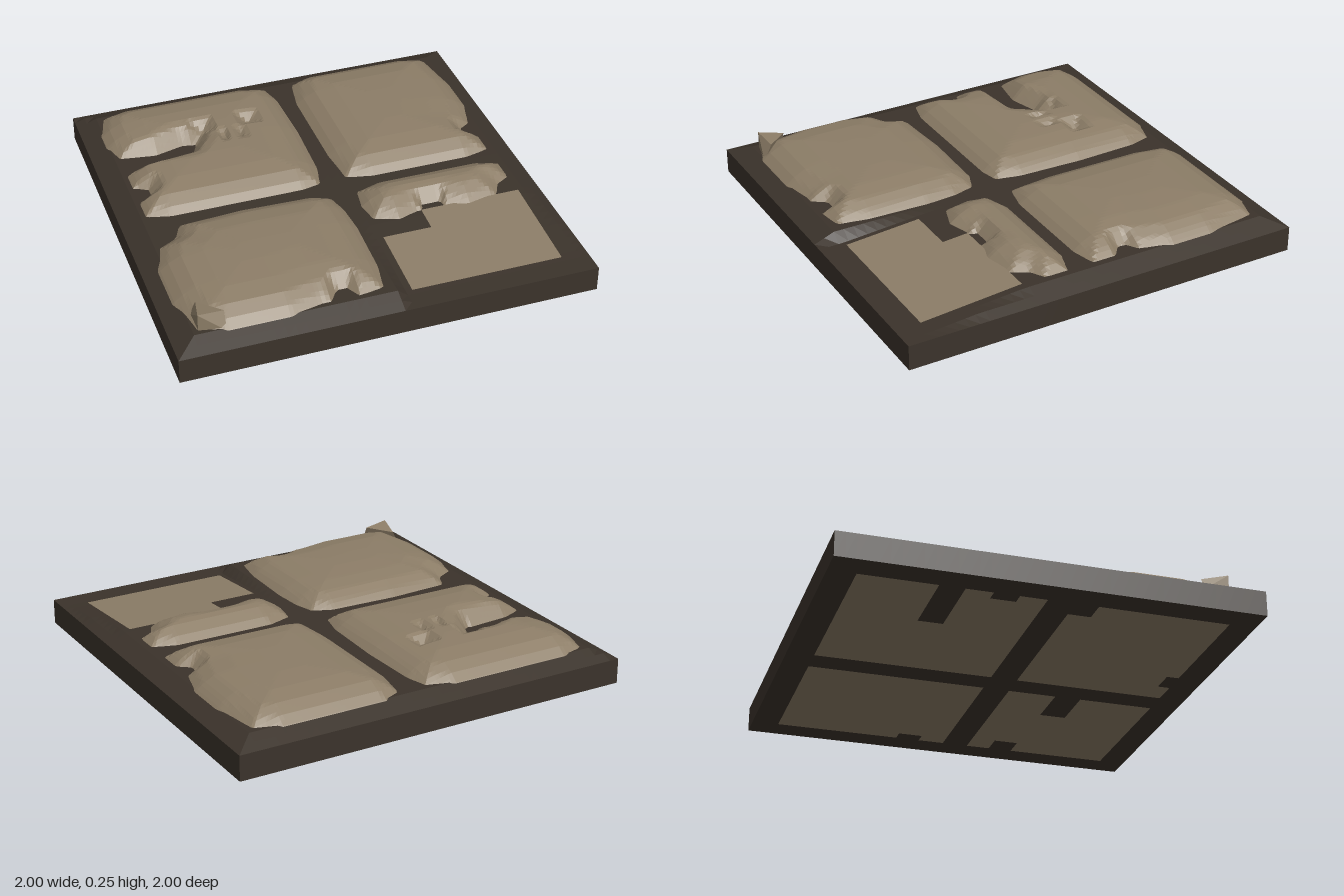
import * as THREE from 'three';
import { ConvexGeometry } from 'three/addons/geometries/ConvexGeometry.js';

const clamp = THREE.MathUtils.clamp;

// Signed distance to a polygon, positive inside
function inside(poly, x, z) {
  let best = Infinity, within = false;
  for (let i = 0, j = poly.length - 1; i < poly.length; j = i++) {
    const [ax, az] = poly[i], [bx, bz] = poly[j];
    const ex = bx - ax, ez = bz - az;
    const t = clamp(((x - ax) * ex + (z - az) * ez) / (ex * ex + ez * ez), 0, 1);
    best = Math.min(best, Math.hypot(x - ax - ex * t, z - az - ez * t));
    if ((az > z) !== (bz > z) && x < ax + (ex * (z - az)) / ez) within = !within;
  }
  return within ? best : -best;
}

// Piecewise straight height profile, extended downwards outside the outline
function profile(points, d) {
  if (d <= 0) return points[0][1] + d;
  for (let i = 1; i < points.length; i++) {
    const [a, ha] = points[i - 1], [b, hb] = points[i];
    if (d < b) return ha + ((hb - ha) * (d - a)) / (b - a);
  }
  return points[points.length - 1][1];
}
const CUSHION = [[0, 0.163], [0.04, 0.195], [0.1, 0.226], [0.2, 0.243], [0.34, 0.25]];
const NOTCH = [[0, 0.163], [0.03, 0.195], [0.07, 0.235], [0.12, 0.25]];

// Mortar rises from the rim and dips towards the worn front corner
function groundHeight(x, z) {
  const h = 0.125 + 0.04 * clamp((1 - Math.max(Math.abs(x), Math.abs(z))) / 0.1, 0, 1);
  return x > 0.06 ? Math.min(h, 0.125 + 0.08 * clamp(0.88 - z, 0, 0.5)) : h;
}

// Domed stone: a height surface whose lower edge sinks into the mortar
function stoneGeometry({ outline, notches = [], dents = [] }) {
  const step = 0.02, xs = outline.map(p => p[0]), zs = outline.map(p => p[1]);
  const x0 = Math.min(...xs) - 0.04, z0 = Math.min(...zs) - 0.04;
  const nx = Math.ceil((Math.max(...xs) + 0.04 - x0) / step);
  const nz = Math.ceil((Math.max(...zs) + 0.04 - z0) / step);
  const pos = [], index = [];
  for (let j = 0; j <= nz; j++) {
    for (let i = 0; i <= nx; i++) {
      const x = x0 + i * step, z = z0 + j * step;
      let h = profile(CUSHION, inside(outline, x, z));
      for (const n of notches) h = Math.min(h, profile(NOTCH, -inside(n, x, z)));
      for (const [dx, dz, hw, hd, depth] of dents) {
        h -= depth * Math.max(0, 1 - Math.max(Math.abs(x - dx) / hw, Math.abs(z - dz) / hd));
      }
      pos.push(x, Math.max(h, 0.126), z);
    }
  }
  const y = k => pos[k * 3 + 1];
  for (let j = 0; j < nz; j++) {
    for (let i = 0; i < nx; i++) {
      const a = j * (nx + 1) + i, b = a + 1, c = a + nx + 1, d = c + 1;
      if (Math.max(y(a), y(b), y(c), y(d)) < 0.155) continue;
      index.push(a, c, b, b, c, d);
    }
  }
  const g = new THREE.BufferGeometry();
  g.setAttribute('position', new THREE.Float32BufferAttribute(pos, 3));
  g.setIndex(index);
  g.computeVertexNormals();
  return g;
}

// Flat polygon in the ground plane, facing up or down
function flatGeometry(points, up) {
  const s = up ? -1 : 1;
  const g = new THREE.ShapeGeometry(new THREE.Shape(points.map(([x, z]) => new THREE.Vector2(x, s * z))));
  return g.rotateX(s * Math.PI / 2);
}

const STONES = {
  backLeftStone: {
    outline: [[-0.87, -0.88], [-0.76, -0.91], [-0.14, -0.91], [-0.01, -0.87], [0.02, -0.76], [0.03, -0.45],
      [0.02, -0.12], [-0.01, 0.01], [-0.1, 0.03], [-0.76, 0.03], [-0.88, 0], [-0.88, -0.52], [-0.91, -0.62], [-0.91, -0.74]],
    notches: [
      [[-1, -0.54], [-0.88, -0.51], [-0.7, -0.48], [-0.55, -0.52], [-0.49, -0.5], [-0.55, -0.42], [-0.78, -0.4], [-0.88, -0.36], [-1, -0.34]],
      [[-1, -0.25], [-0.86, -0.24], [-0.81, -0.21], [-0.81, -0.17], [-0.86, -0.13], [-1, -0.12]]],
    dents: [[-0.44, -0.56, 0.07, 0.06, 0.05], [-0.2, -0.56, 0.07, 0.06, 0.05],
      [-0.53, -0.44, 0.03, 0.06, 0.02], [-0.36, -0.44, 0.03, 0.06, 0.03], [-0.27, -0.44, 0.03, 0.06, 0.03]],
  },
  backRightStone: {
    outline: [[0.13, -0.87], [0.22, -0.91], [0.74, -0.91], [0.87, -0.87], [0.91, -0.62], [0.91, -0.4],
      [0.87, -0.25], [0.87, 0], [0.75, 0.03], [0.25, 0.03], [0.12, 0], [0.1, -0.2], [0.1, -0.7]],
    notches: [[[1, -0.26], [0.86, -0.24], [0.81, -0.21], [0.81, -0.17], [0.86, -0.13], [1, -0.12]]],
  },
  frontLeftStone: {
    outline: [[-0.75, 0.11], [-0.45, 0.09], [-0.1, 0.1], [0, 0.14], [0.03, 0.25], [0.04, 0.4], [0.03, 0.7], [0, 0.86],
      [-0.13, 0.88], [-0.3, 0.88], [-0.45, 0.91], [-0.75, 0.91], [-0.88, 0.87], [-0.92, 0.65], [-0.92, 0.4], [-0.88, 0.25], [-0.79, 0.2]],
    notches: [[[-0.27, 1], [-0.25, 0.87], [-0.21, 0.81], [-0.16, 0.81], [-0.13, 0.87], [-0.12, 1]]],
  },
  brokenStone: {
    outline: [[0.13, 0.13], [0.25, 0.09], [0.75, 0.09], [0.87, 0.13], [0.87, 0.25], [0.8, 0.29], [0.76, 0.37],
      [0.6, 0.4], [0.5, 0.37], [0.35, 0.37], [0.25, 0.4], [0.13, 0.36], [0.11, 0.25]],
    notches: [[[0.36, 0.5], [0.39, 0.33], [0.48, 0.33], [0.51, 0.5]]],
  },
};

// Stone footprints showing through the underside
const FOOTPRINTS = [
  [[-0.87, -0.87], [0, -0.87], [0, 0], [-0.87, 0], [-0.87, -0.13], [-0.81, -0.13], [-0.81, -0.25], [-0.87, -0.25],
    [-0.87, -0.38], [-0.5, -0.38], [-0.5, -0.5], [-0.87, -0.5]],
  [[0.13, -0.87], [0.87, -0.87], [0.87, -0.25], [0.81, -0.25], [0.81, -0.13], [0.87, -0.13], [0.87, 0], [0.13, 0]],
  [[-0.76, 0.13], [0, 0.13], [0, 0.87], [-0.13, 0.87], [-0.13, 0.81], [-0.25, 0.81], [-0.25, 0.87], [-0.87, 0.87], [-0.87, 0.24], [-0.76, 0.24]],
  [[0.13, 0.13], [0.87, 0.13], [0.87, 0.25], [0.76, 0.25], [0.76, 0.37], [0.87, 0.37], [0.87, 0.87], [0.13, 0.87],
    [0.13, 0.5], [0.37, 0.5], [0.37, 0.37], [0.13, 0.37]],
];

export function createModel() {
  const model = new THREE.Group();
  model.name = 'stonePavingTile';
  const stone = new THREE.MeshStandardMaterial({ color: 0x8c7d67, flatShading: true });
  stone.name = 'stone';
  const mortar = new THREE.MeshStandardMaterial({ color: 0x3b332b, flatShading: true });
  mortar.name = 'mortar';
  const add = (name, geometry, material) => {
    const mesh = new THREE.Mesh(geometry, material);
    mesh.name = name;
    model.add(mesh);
  };

  // Mortar slab with a gently raised top
  const slab = new THREE.BoxGeometry(2, 0.123, 2, 40, 1, 40).translate(0, 0.0635, 0);
  const p = slab.attributes.position;
  for (let i = 0; i < p.count; i++) {
    if (p.getY(i) > 0.1) p.setY(i, groundHeight(p.getX(i), p.getZ(i)));
  }
  slab.computeVertexNormals();
  add('mortarSlab', slab, mortar);

  for (const [name, spec] of Object.entries(STONES)) add(name, stoneGeometry(spec), stone);

  // Worn flat part of the broken stone, following the mortar slope
  const worn = flatGeometry([[0.13, 0.5], [0.37, 0.5], [0.37, 0.37], [0.87, 0.37], [0.87, 0.875], [0.13, 0.875]], true);
  const w = worn.attributes.position;
  for (let i = 0; i < w.count; i++) w.setY(i, 0.129 + 0.08 * (0.88 - w.getZ(i)));
  worn.computeVertexNormals();
  add('wornStone', worn, stone);

  // Chipped upstanding corner
  const chip = [[-0.875, 0.25, 0.875], [-0.85, 0.225, 0.75], [-0.75, 0.235, 0.86],
    [-0.875, 0.15, 0.875], [-0.88, 0.16, 0.75], [-0.75, 0.15, 0.9]];
  add('chippedCorner', new ConvexGeometry(chip.map(v => new THREE.Vector3(...v))), stone);

  FOOTPRINTS.forEach((f, i) => add('footprint' + (i + 1), flatGeometry(f, false), stone));
  return model;
}
